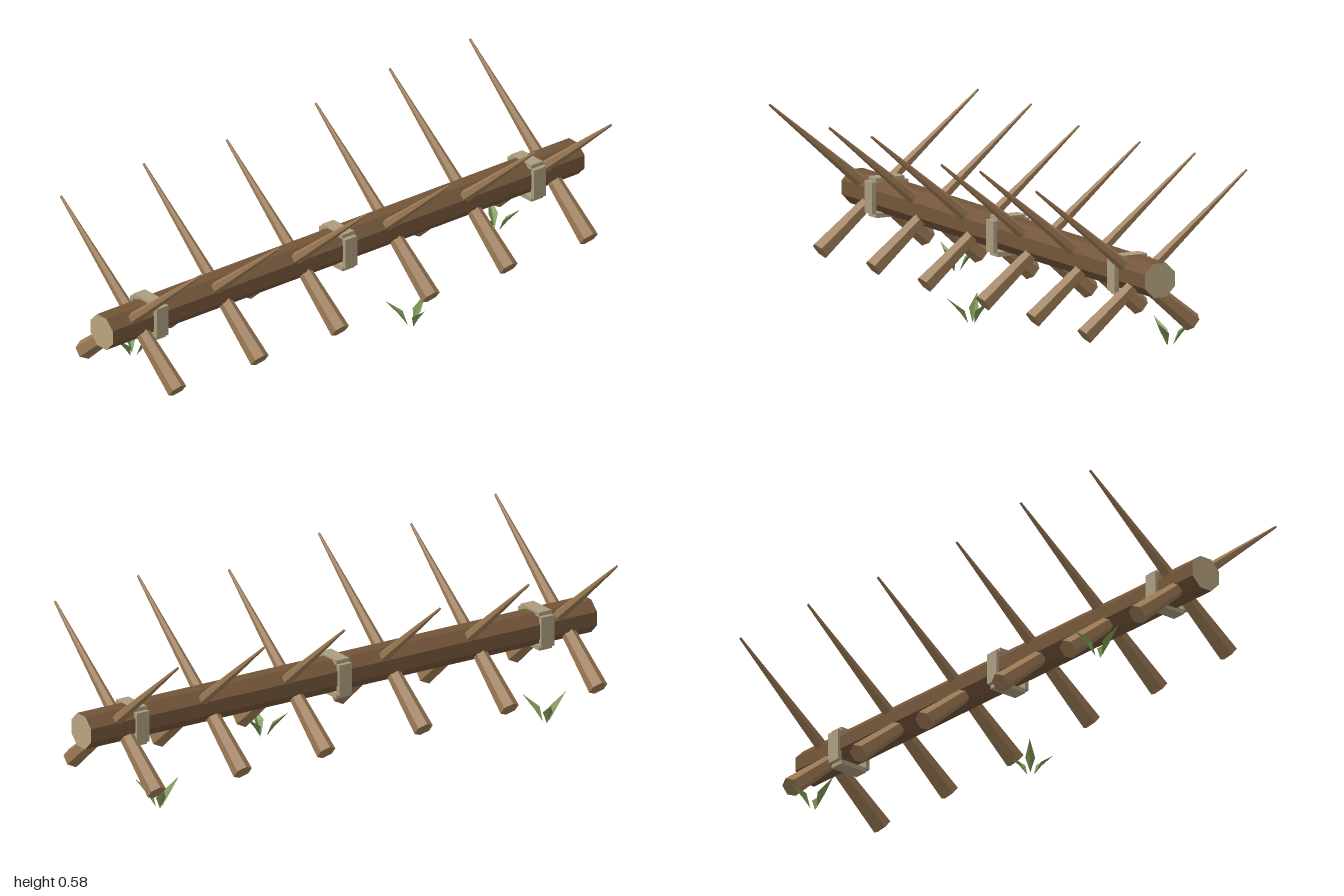
import * as THREE from 'three';

const mat = (name, color, extra = {}) => {
  const m = new THREE.MeshStandardMaterial({ color, flatShading: true, ...extra });
  m.name = name;
  return m;
};

export function createModel() {
  const group = new THREE.Group();
  group.name = 'spikedBarricade';
  const beamWood = mat('dark beam wood', 0x735539);
  const stakeWood = mat('stake wood', 0x9c7a55);
  const cutWood = mat('cut end wood', 0xb8a580);
  const strapMat = mat('pale strap', 0xaa9c7e);
  const grassMat = mat('grass green', 0x7d9a56, { side: THREE.DoubleSide });

  const add = (parent, name, geo, material) => {
    const mesh = new THREE.Mesh(geo, material);
    mesh.name = name;
    parent.add(mesh);
    return mesh;
  };

  // Long eight-sided beam, very slightly tilted
  const beam = add(group, 'beam',
    new THREE.CylinderGeometry(0.061, 0.061, 2, 8, 1, false, Math.PI / 8),
    [beamWood, cutWood, cutWood]);
  beam.rotation.z = -Math.PI / 2 + 0.004;
  beam.position.set(0, 0.257, -0.004);

  // Straps: four plates round the beam at three places
  for (const x of [-0.8, 0, 0.8]) {
    const strap = new THREE.Group();
    strap.name = 'strap';
    strap.position.set(x, 0.252, -0.002);
    for (const s of [-1, 1]) {
      add(strap, 'strapSide', new THREE.BoxGeometry(0.05, 0.106, 0.016), strapMat)
        .position.z = s * 0.06;
      add(strap, 'strapCap', new THREE.BoxGeometry(0.05, 0.016, 0.106), strapMat)
        .position.y = s * 0.058;
    }
    group.add(strap);
  }

  // Sharpened stakes: each runs from a blunt foot through the beam to a tip
  const addStake = (name, x, side, tipZ, tipY) => {
    const foot = new THREE.Vector3(x, 0.078, -side * 0.213);
    const tip = new THREE.Vector3(x, tipY, side * tipZ);
    const dir = tip.clone().sub(foot);
    const stake = add(group, name,
      new THREE.CylinderGeometry(0.004, 0.033, dir.length(), 6), stakeWood);
    stake.position.copy(foot).add(tip).multiplyScalar(0.5);
    stake.quaternion.setFromUnitVectors(new THREE.Vector3(0, 1, 0), dir.normalize());
  };
  // x of the front stake, then tip distance and height for front and back
  [
    [-0.90, 0.38, 0.572, 0.38, 0.56],
    [-0.55, 0.355, 0.55, 0.38, 0.568],
    [-0.21, 0.39, 0.578, 0.365, 0.552],
    [0.175, 0.347, 0.543, 0.375, 0.56],
    [0.505, 0.39, 0.578, 0.394, 0.574],
    [0.845, 0.373, 0.565, 0.394, 0.574],
  ].forEach(([x, fz, fy, bz, by]) => {
    addStake('frontStake', x, 1, fz, fy);
    addStake('backStake', x + 0.04, -1, bz, by);
  });

  // Grass blade: a folded diamond leaning outward along +z
  const blade = new THREE.BufferGeometry();
  blade.setAttribute('position', new THREE.Float32BufferAttribute([
    0, 0, 0.012,
    -0.016, 0.045, 0.03,
    0.016, 0.045, 0.03,
    0, 0.04, 0.042,
    0, 0.087, 0.086,
  ], 3));
  blade.setIndex([0, 3, 1, 0, 2, 3, 1, 3, 4, 3, 2, 4]);
  blade.computeVertexNormals();

  // Tufts of three blades; turn is the heading of the first blade
  for (const [x, z, turn] of [[-0.7, -0.205, 173], [0.135, 0.21, 100], [0.795, -0.155, 173]]) {
    const tuft = new THREE.Group();
    tuft.name = 'grassTuft';
    tuft.position.set(x, 0, z);
    for (let i = 0; i < 3; i++) {
      const a = THREE.MathUtils.degToRad(turn + i * 122);
      add(tuft, 'grassBlade', blade, grassMat).rotation.y = Math.PI / 2 - a;
    }
    group.add(tuft);
  }
  return group;
}
